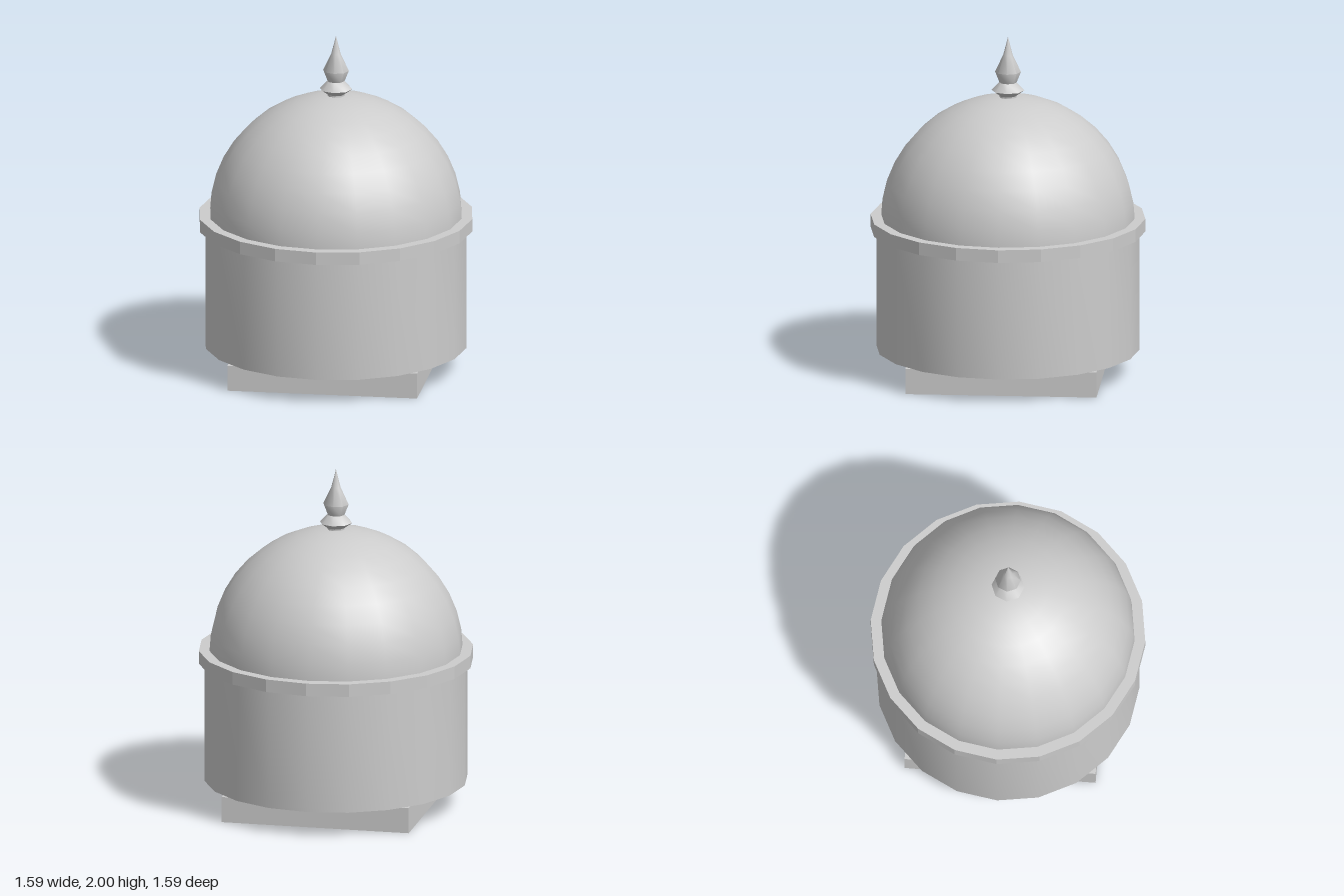
import * as THREE from 'three';
import { toCreasedNormals } from 'three/addons/utils/BufferGeometryUtils.js';

const SIDES = 20;
const HOLE = 0.436;

export function createModel() {
  const group = new THREE.Group();
  const stone = new THREE.MeshStandardMaterial({ color: 0xcccccc, side: THREE.DoubleSide });
  stone.name = 'stone grey';

  const add = (name, geometry) => {
    const mesh = new THREE.Mesh(geometry, stone);
    mesh.name = name;
    group.add(mesh);
    return mesh;
  };

  // Turned part from [radius, height] pairs; crease is the smoothing limit in radians
  const turned = (profile, sides, crease) => toCreasedNormals(
    new THREE.LatheGeometry(profile.map(([r, y]) => new THREE.Vector2(r, y)), sides), crease);

  // Square base plate with a round opening
  const h = 0.553;
  const square = new THREE.Shape([
    new THREE.Vector2(-h, -h), new THREE.Vector2(h, -h),
    new THREE.Vector2(h, h), new THREE.Vector2(-h, h),
  ]);
  square.holes.push(new THREE.Path().absarc(0, 0, HOLE, 0, Math.PI * 2, true));
  const plate = new THREE.ExtrudeGeometry(square, { depth: 0.15, bevelEnabled: false, curveSegments: SIDES / 2 });
  add('basePlate', plate.rotateX(-Math.PI / 2));

  // Thick-walled drum, open through the middle
  add('drum', turned([
    [HOLE, 0.15], [0.762, 0.15], [0.762, 0.855], [HOLE, 0.855], [HOLE, 0.15],
  ], SIDES, 0.5));

  // Faceted cornice ring
  add('cornice', turned([
    [HOLE, 0.853], [0.795, 0.853], [0.795, 0.928], [HOLE, 0.928], [HOLE, 0.853],
  ], SIDES, 0.1));

  // Hemispherical dome
  const dome = add('dome', new THREE.SphereGeometry(0.735, SIDES, 10, 0, Math.PI * 2, 0, Math.PI / 2));
  dome.position.y = 0.908;

  // Finial: neck, collar, bulb and spike
  add('finial', turned([
    [0.05, 1.62], [0.05, 1.648], [0.095, 1.68], [0.05, 1.727],
    [0.075, 1.79], [0.028, 1.89], [0.012, 1.95], [0, 2],
  ], 8, 0.9));

  return group;
}
